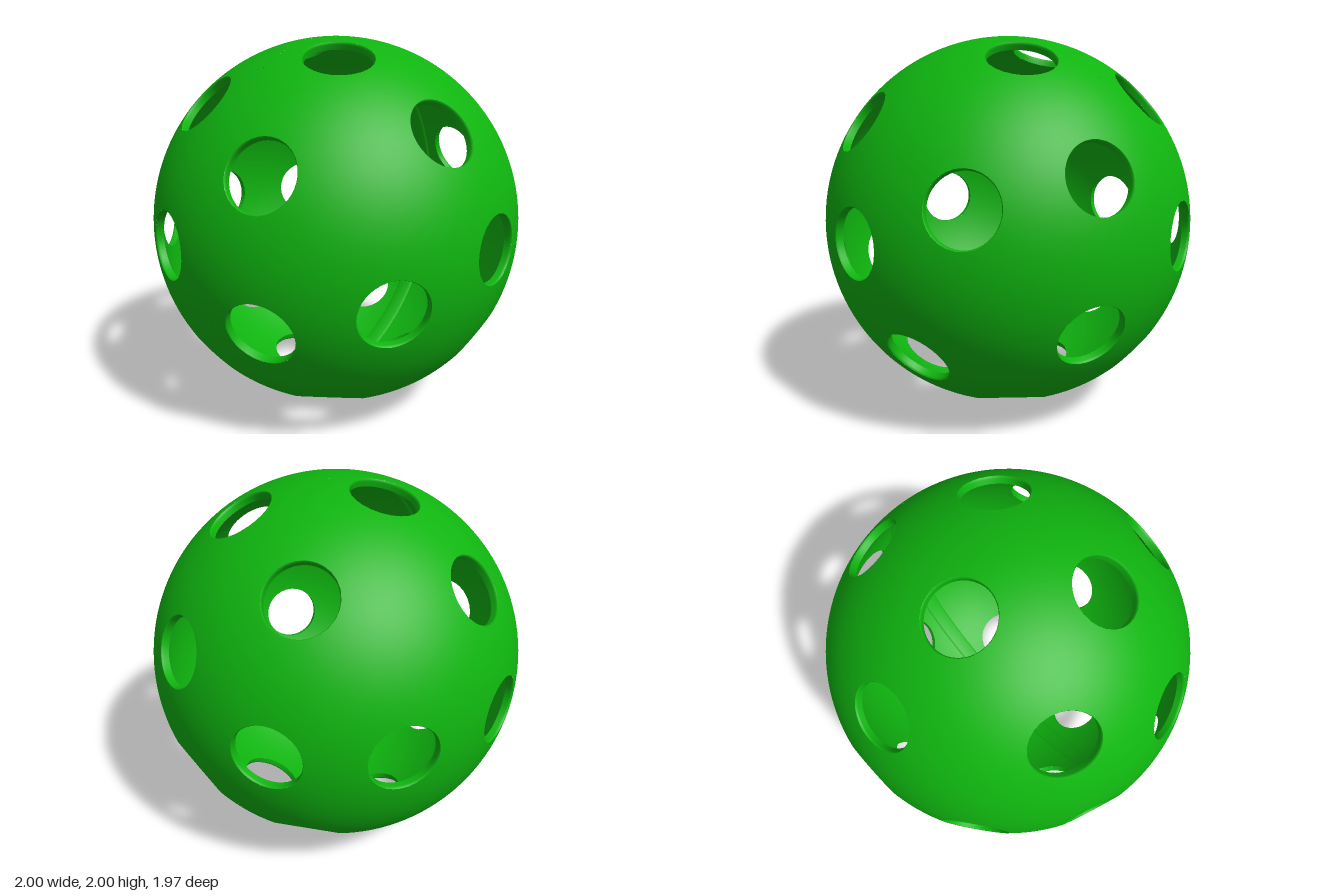
import * as THREE from 'three';

const OUTER = 1, INNER = 0.96;   // shell radii
const EDGE = 0.176, BORE = 0.17; // hole radius at the surface and inside
const deg = THREE.MathUtils.degToRad;

// Hole directions of one half: pole, ring of four, ring of eight
const holes = [];
for (const [count, polar] of [[1, 0], [4, 37], [8, 73.3]]) {
  for (let i = 0; i < count; i++) {
    const a = (i / count) * Math.PI * 2, s = Math.sin(deg(polar));
    holes.push(new THREE.Vector3(s * Math.cos(a), s * Math.sin(a), Math.cos(deg(polar))));
  }
}

// Keep the part of a small spherical polygon where f >= 0
function clip(poly, f) {
  const out = [];
  poly.forEach((p, i) => {
    const q = poly[(i + 1) % poly.length], a = f(p), b = f(q);
    if (a >= 0) out.push(p);
    if ((a >= 0) !== (b >= 0)) out.push(p.clone().lerp(q, a / (a - b)).normalize());
  });
  return out;
}

// Perforated hemisphere surface, facing outward or inward
function hemisphere(radius, holeRadius, inward) {
  const angle = Math.asin(holeRadius / radius);
  const nearest = p => Math.min(...holes.map(h => h.angleTo(p))) - angle;
  const src = new THREE.IcosahedronGeometry(1, 26).getAttribute('position');
  const pos = [], nor = [];
  for (let i = 0; i < src.count; i += 3) {
    let poly = [0, 1, 2].map(k => new THREE.Vector3().fromBufferAttribute(src, i + k));
    poly = clip(clip(poly, p => p.z), nearest);
    if (inward) poly.reverse();
    for (let k = 1; k + 1 < poly.length; k++) {
      for (const v of [poly[0], poly[k], poly[k + 1]]) {
        pos.push(v.x * radius, v.y * radius, v.z * radius);
        const s = inward ? -1 : 1;
        nor.push(v.x * s, v.y * s, v.z * s);
      }
    }
  }
  const g = new THREE.BufferGeometry();
  g.setAttribute('position', new THREE.Float32BufferAttribute(pos, 3));
  g.setAttribute('normal', new THREE.Float32BufferAttribute(nor, 3));
  return g;
}

export function createModel() {
  const model = new THREE.Group();
  model.name = 'perforatedBall';
  const green = new THREE.MeshStandardMaterial({ color: 0x0fb40f });

  const outerGeo = hemisphere(OUTER, EDGE, false);
  const innerGeo = hemisphere(INNER, BORE, true);

  // Softly rounded wall lining each hole
  const wallGeo = new THREE.LatheGeometry([
    [EDGE, Math.sqrt(OUTER ** 2 - EDGE ** 2)],
    [0.172, 0.98],
    [BORE, 0.972],
    [BORE, Math.sqrt(INNER ** 2 - BORE ** 2)],
  ].map(([x, y]) => new THREE.Vector2(x, y)), 40);

  const up = new THREE.Vector3(0, 1, 0);
  function half(name) {
    const g = new THREE.Group();
    g.name = name;
    const add = (geo, part) => {
      const m = new THREE.Mesh(geo, green);
      m.name = part;
      g.add(m);
      return m;
    };
    add(outerGeo, 'outerShell');
    add(innerGeo, 'innerShell');
    for (const h of holes) add(wallGeo, 'holeWall').quaternion.setFromUnitVectors(up, h);
    g.position.y = 1;
    model.add(g);
    return g;
  }

  // The two halves are joined with a twist
  half('frontHalf').rotation.z = deg(20.2);
  half('backHalf').rotation.y = Math.PI;

  // Joint band inside the seam
  const bandGeo = new THREE.LatheGeometry(
    [[0.962, 0.05], [0.945, 0.035], [0.945, -0.035], [0.962, -0.05]]
      .map(([x, y]) => new THREE.Vector2(x, y)), 96);
  const band = new THREE.Mesh(bandGeo, green);
  band.name = 'seamBand';
  band.rotation.x = Math.PI / 2;
  band.position.y = 1;
  model.add(band);
  return model;
}
